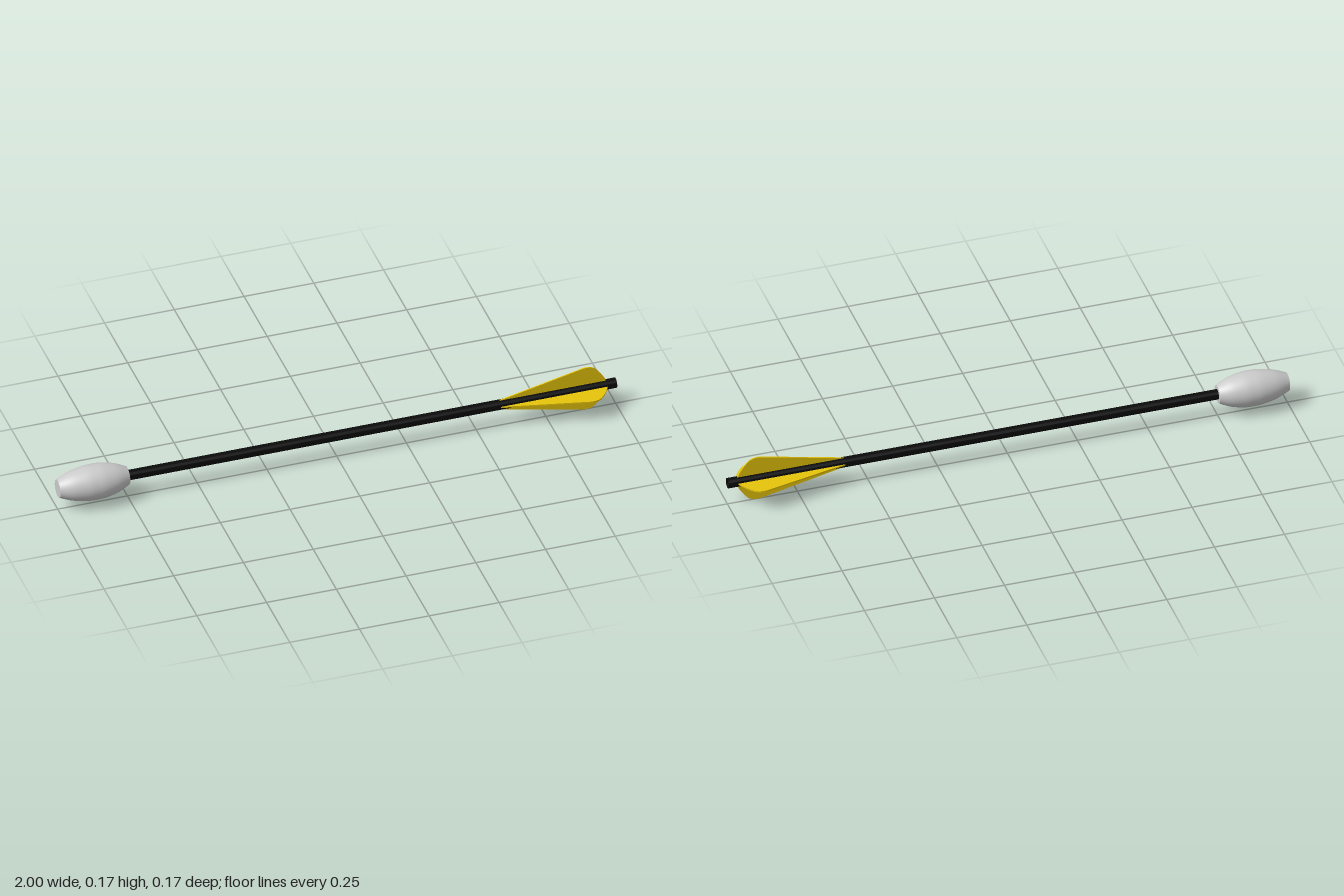
import * as THREE from 'three';
import { toCreasedNormals } from 'three/addons/utils/BufferGeometryUtils.js';

const AXIS_Y = 0.086;
const material = (color) => new THREE.MeshStandardMaterial({ color });

function addMesh(parent, name, geometry, mat) {
  const mesh = new THREE.Mesh(geometry, mat);
  mesh.name = name;
  parent.add(mesh);
  return mesh;
}

// Hollow shaft running along x
function shaftGeometry(x0, x1, outer, inner) {
  const ring = new THREE.Shape().absarc(0, 0, outer, 0, Math.PI * 2);
  ring.holes.push(new THREE.Path().absarc(0, 0, inner, 0, Math.PI * 2, true));
  const geo = new THREE.ExtrudeGeometry(ring, { depth: x1 - x0, bevelEnabled: false, curveSegments: 32 });
  geo.rotateY(Math.PI / 2).translate(x0, 0, 0);
  return toCreasedNormals(geo, 0.6);
}

// One vane, rising in +y from the shaft
function vaneGeometry(thickness) {
  const s = new THREE.Shape();
  s.moveTo(0.575, 0.016);
  s.lineTo(0.88, 0.084);
  s.quadraticCurveTo(0.915, 0.09, 0.932, 0.068);
  s.quadraticCurveTo(0.955, 0.042, 0.966, 0.016);
  s.closePath();
  const geo = new THREE.ExtrudeGeometry(s, { depth: thickness, bevelEnabled: false, curveSegments: 8 });
  return toCreasedNormals(geo.translate(0, 0, -thickness / 2), 0.6);
}

export function createModel() {
  const model = new THREE.Group();
  model.name = 'arrow';
  const arrow = new THREE.Group();
  arrow.name = 'arrowBody';
  arrow.position.y = AXIS_Y;
  model.add(arrow);

  const black = material(0x0a0a0a);
  const yellow = material(0xe6c40a);
  const grey = material(0xcccccc);

  addMesh(arrow, 'shaft', shaftGeometry(-0.76, 1, 0.018, 0.0155), black);

  // Barrel-shaped blunt tip with flat ends
  const tip = new THREE.Group();
  tip.name = 'tip';
  arrow.add(tip);
  const profile = new THREE.SplineCurve([
    [0.032, -1], [0.05, -0.955], [0.0605, -0.905], [0.0625, -0.87],
    [0.0605, -0.835], [0.05, -0.79], [0.032, -0.75],
  ].map(([r, x]) => new THREE.Vector2(r, x))).getPoints(30);
  addMesh(tip, 'tipBody', new THREE.LatheGeometry(profile, 48).rotateZ(-Math.PI / 2), grey);
  for (const [name, x, side] of [['tipFrontCap', -1, -1], ['tipRearCap', -0.75, 1]]) {
    const cap = new THREE.CircleGeometry(0.032, 48).rotateY(side * Math.PI / 2).translate(x, 0, 0);
    addMesh(tip, name, cap, grey);
  }

  // Four vanes around the shaft
  const vane = vaneGeometry(0.005);
  for (let i = 0; i < 4; i++) {
    addMesh(arrow, `vane${i + 1}`, vane, yellow).rotation.x = i * Math.PI / 2;
  }
  return model;
}
